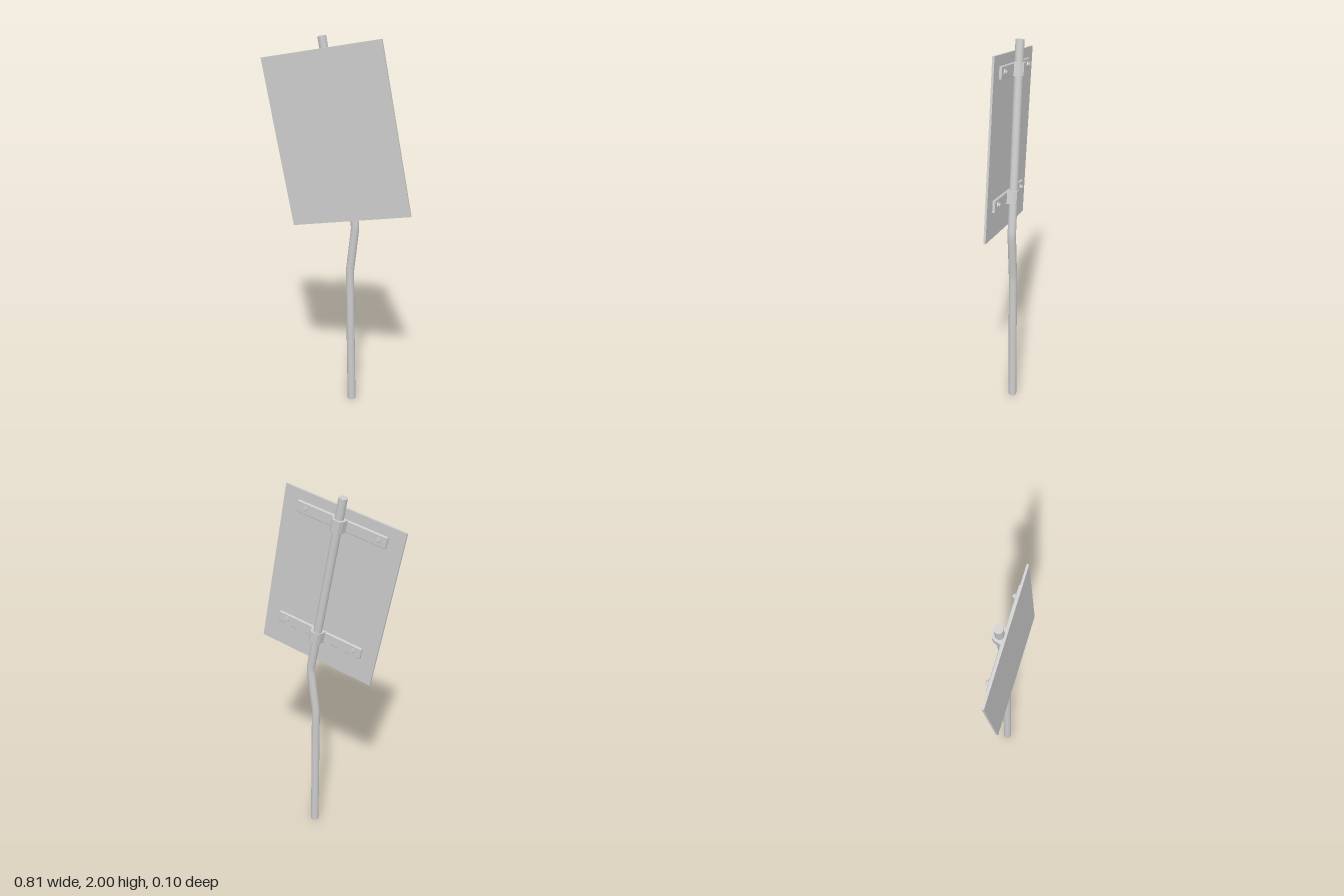
import * as THREE from 'three';

const material = new THREE.MeshStandardMaterial({ color: 0xcccccc });

function add(parent, name, geometry, x = 0, y = 0, z = 0) {
  const mesh = new THREE.Mesh(geometry, material);
  mesh.name = name;
  mesh.position.set(x, y, z);
  parent.add(mesh);
  return mesh;
}

// Kinked pole: straight runs joined by tight bends, capped at both ends
function createPole() {
  const pole = new THREE.Group();
  pole.name = 'pole';
  const radius = 0.022, z = -0.0185, bend = 0.025;
  const pts = [[0.078, 0], [0.064, 0.76], [0.093, 1.02], [-0.087, 1.996]]
    .map(([x, y]) => new THREE.Vector3(x, y, z));
  const path = new THREE.CurvePath();
  let start = pts[0];
  for (let i = 1; i < pts.length - 1; i++) {
    const p = pts[i];
    const toward = (q) => p.clone().add(q.clone().sub(p).setLength(bend));
    const a = toward(pts[i - 1]), b = toward(pts[i + 1]);
    path.add(new THREE.LineCurve3(start, a));
    path.add(new THREE.QuadraticBezierCurve3(a, p, b));
    start = b;
  }
  path.add(new THREE.LineCurve3(start, pts[3]));
  add(pole, 'poleTube', new THREE.TubeGeometry(path, 160, radius, 20));

  const forward = new THREE.Vector3(0, 0, 1);
  for (const [name, t, sign] of [['poleBottomCap', 0, -1], ['poleTopCap', 1, 1]]) {
    const p = path.getPoint(t);
    const cap = add(pole, name, new THREE.CircleGeometry(radius, 20), p.x, p.y, p.z);
    cap.quaternion.setFromUnitVectors(forward, path.getTangent(t).multiplyScalar(sign));
  }
  return pole;
}

// Flat bar with softened edges; its front lies on z = 0 and it extends to -z
function barGeometry(width, height, depth) {
  const b = 0.003, w = width / 2 - b, h = height / 2 - b;
  const shape = new THREE.Shape([
    new THREE.Vector2(-w, -h), new THREE.Vector2(w, -h),
    new THREE.Vector2(w, h), new THREE.Vector2(-w, h),
  ]);
  return new THREE.ExtrudeGeometry(shape, {
    depth: depth - 2 * b, bevelSize: b, bevelThickness: b, bevelSegments: 1,
  }).translate(0, 0, b - depth);
}

// Faceted clamp wrapped round the pole, flaring toward the bar
function clampGeometry(height, back) {
  const shape = new THREE.Shape([
    [-0.040, -0.012], [-0.030, back + 0.016], [-0.019, back],
    [0.019, back], [0.030, back + 0.016], [0.040, -0.012],
  ].map(([x, y]) => new THREE.Vector2(x, y)));
  return new THREE.ExtrudeGeometry(shape, { depth: height, bevelEnabled: false })
    .translate(0, 0, -height / 2)
    .rotateX(Math.PI / 2);
}

// Mounting bar with its clamp and two bolts
function createBracket(name, y, clampBack) {
  const bracket = new THREE.Group();
  bracket.name = name;
  bracket.position.y = y;
  add(bracket, 'mountingBar', barGeometry(0.49, 0.06, 0.018));
  add(bracket, 'poleClamp', clampGeometry(0.065, clampBack), 0.007);
  for (const x of [-0.2, 0.2]) {
    add(bracket, 'washer', new THREE.CylinderGeometry(0.015, 0.015, 0.008, 16).rotateX(Math.PI / 2), x, 0, -0.021);
    add(bracket, 'boltHead', new THREE.CylinderGeometry(0.009, 0.009, 0.010, 6).rotateX(Math.PI / 2), x, 0, -0.028);
  }
  return bracket;
}

export function createModel() {
  const model = new THREE.Group();
  model.name = 'bentSignpost';
  model.add(createPole());

  // Tilted sign: blank plate with brackets behind
  const sign = new THREE.Group();
  sign.name = 'sign';
  sign.position.set(-0.0025, 1.5, 0.0175);
  sign.rotation.set(0, -0.067, 0.191);
  add(sign, 'signPlate', new THREE.BoxGeometry(0.657, 0.891, 0.011));
  sign.add(createBracket('upperBracket', 0.363, -0.063));
  sign.add(createBracket('lowerBracket', -0.28, -0.065));
  model.add(sign);
  return model;
}
